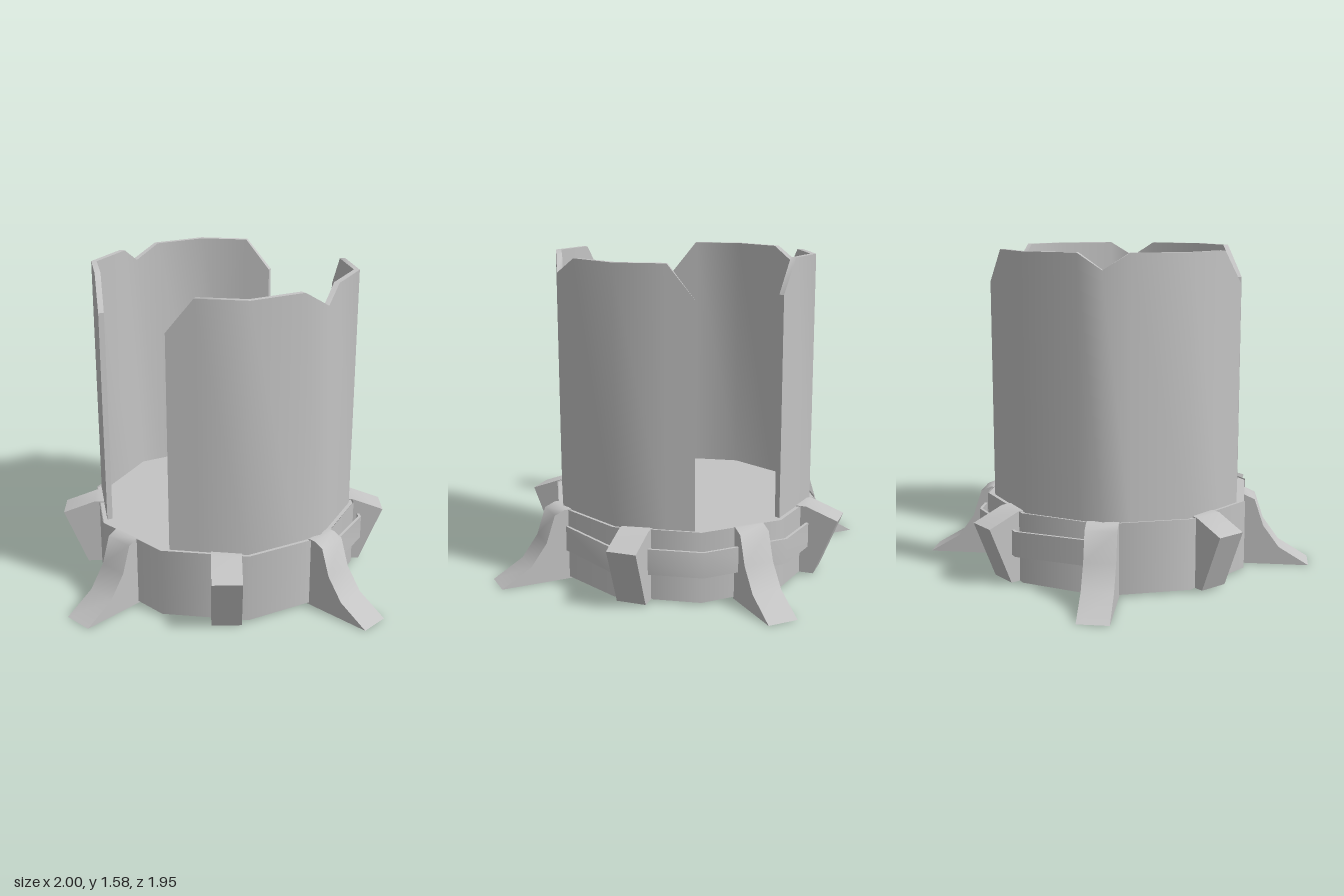
import * as THREE from 'three';
import { toCreasedNormals } from 'three/addons/utils/BufferGeometryUtils.js';

export function createModel() {
  const model = new THREE.Group();
  const grey = new THREE.MeshStandardMaterial({ color: 0xc4c4c4, side: THREE.DoubleSide });
  grey.name = 'plain grey';

  const add = (name, geometry) => {
    const mesh = new THREE.Mesh(geometry, grey);
    mesh.name = name;
    model.add(mesh);
    return mesh;
  };

  // Thin wall following a path of [x, z, topY, bottomY], with thickness towards the centre
  const wall = (path, thickness) => {
    const pos = [], index = [];
    const point = ([x, z], y, inset) => {
      const k = 1 - inset / Math.hypot(x, z);
      return [x * k, y, z * k];
    };
    const strip = (a, b) => {
      const base = pos.length / 3;
      a.forEach((p, i) => pos.push(...p, ...b[i]));
      for (let i = 0; i < a.length - 1; i++) {
        const n = base + i * 2;
        index.push(n, n + 1, n + 2, n + 2, n + 1, n + 3);
      }
    };
    const outerTop = path.map(p => point(p, p[2], 0));
    const outerLow = path.map(p => point(p, p[3], 0));
    const innerTop = path.map(p => point(p, p[2], thickness));
    const innerLow = path.map(p => point(p, p[3], thickness));
    const last = path.length - 1;
    strip(outerLow, outerTop);
    strip(innerTop, innerLow);
    strip(outerTop, innerTop);
    strip(innerLow, outerLow);
    strip([innerLow[0], outerLow[0]], [innerTop[0], outerTop[0]]);
    strip([outerLow[last], innerLow[last]], [outerTop[last], innerTop[last]]);
    const g = new THREE.BufferGeometry();
    g.setAttribute('position', new THREE.Float32BufferAttribute(pos, 3));
    g.setIndex(index);
    g.computeVertexNormals();
    return g;
  };

  // Ten-sided base: open ring with a floor at its top
  const ring = add('baseRing', new THREE.CylinderGeometry(0.68, 0.68, 0.345, 10, 1, true));
  ring.position.y = 0.1825;
  ring.rotation.y = Math.PI / 10;
  const floor = add('floor', new THREE.CircleGeometry(0.675, 10).rotateX(-Math.PI / 2));
  floor.position.y = 0.35;

  // Two tall curved shells with clipped corners and a central notch
  const half = [[0.225, 0.605, 1.42], [0.33, 0.53, 1.58], [0.53, 0.385, 1.58], [0.616, 0.12, 1.58]];
  for (const s of [1, -1]) {
    const path = [
      ...half.map(([x, z, y]) => [x * s, z * s, y, 0.33]),
      [0.655 * s, 0, 1.505, 0.33],
      ...half.slice().reverse().map(([x, z, y]) => [x * s, -z * s, y, 0.33]),
    ];
    add(s > 0 ? 'leftShell' : 'rightShell', wall(path, 0.028));
  }

  // Band standing off the back of the ring
  const bandHalf = [[0.675, -0.05], [0.58, -0.43], [0.22, -0.688]];
  const band = [...bandHalf, ...bandHalf.slice().reverse().map(([x, z]) => [-x, z])];
  add('backBand', wall(band.map(([x, z]) => [x, z, 0.272, 0.148]), 0.014));

  // Brackets: side profile (distance out, height) swept across a width
  const bracket = (name, profile, width, angle, x = 0, z = 0) => {
    const shape = new THREE.Shape(profile.map(([r, y]) => new THREE.Vector2(r, y)));
    const g = new THREE.ExtrudeGeometry(shape, { depth: width, bevelEnabled: false });
    g.translate(0, 0, -width / 2);
    const mesh = add(name, toCreasedNormals(g, 0.9));
    mesh.rotation.y = angle;
    mesh.position.set(x, 0, z);
  };

  // Four flared feet
  const foot = reach => [[0.64, 0], [reach, 0], [reach - 0.15, 0.09], [reach - 0.23, 0.2],
    [reach - 0.275, 0.335], [reach - 0.325, 0.357], [0.64, 0.357]];
  bracket('leftFoot', foot(1), 0.15, 0);
  bracket('rightFoot', foot(1), 0.15, Math.PI);
  bracket('frontFoot', foot(0.97), 0.15, -Math.PI / 2, -0.035);
  bracket('backFoot', foot(0.98), 0.15, Math.PI / 2, -0.035);

  // Four diagonal wedges that lean outwards
  const wedge = [[0.62, 0.01], [0.715, 0.01], [0.83, 0.295], [0.67, 0.355], [0.62, 0.355]];
  for (let i = 0; i < 4; i++) {
    bracket('diagonalWedge', wedge, 0.145, Math.PI / 4 + i * Math.PI / 2);
  }
  return model;
}
